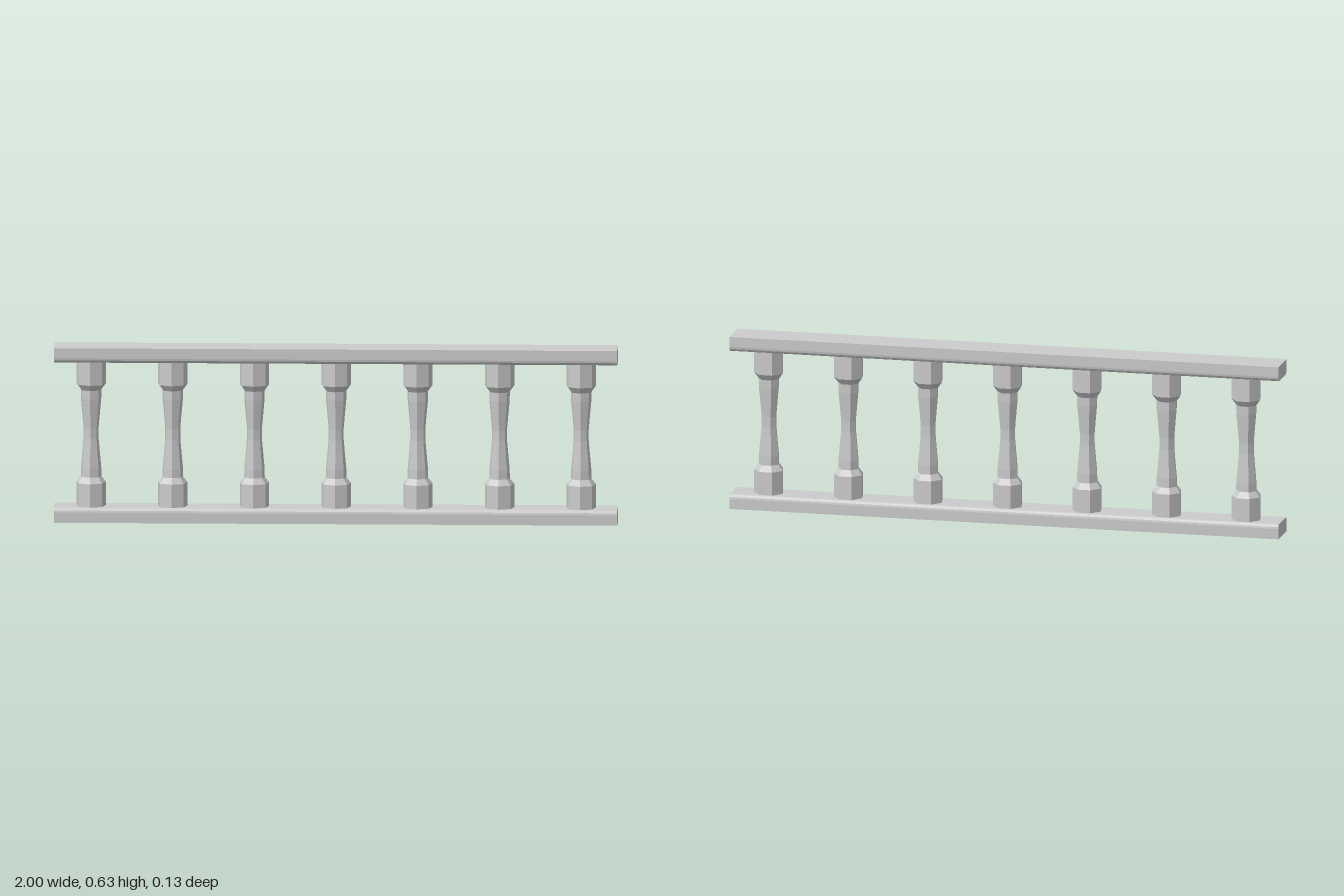
import * as THREE from 'three';

const LENGTH = 2;
const HEIGHT = 0.628;
const RAIL_H = 0.053;
const COUNT = 7;
const SPACING = 0.29;

const material = new THREE.MeshStandardMaterial({ color: 0xcccccc, flatShading: true });

// Rail: half cross-section mirrored, with eased edges on the baluster side
function railGeometry() {
  const half = [[0.064, 0], [0.064, 0.037], [0.0625, 0.044], [0.058, 0.051], [0.053, RAIL_H]];
  const outline = [...half, ...half.map(([z, y]) => [-z, y]).reverse()];
  const shape = new THREE.Shape(outline.map(([z, y]) => new THREE.Vector2(z, y)));
  const geo = new THREE.ExtrudeGeometry(shape, { depth: LENGTH, bevelEnabled: false });
  return geo.translate(0, 0, -LENGTH / 2).rotateY(Math.PI / 2);
}

// Baluster: seven-sided, lower half of the profile mirrored to the top
function balusterGeometry() {
  const lower = [
    [0.0535, RAIL_H], [0.0535, 0.137], [0.0375, 0.158],
    [0.037, 0.19], [0.031, 0.255], [0.0275, 0.295],
  ];
  const upper = lower.map(([r, y]) => [r, HEIGHT - y]).reverse();
  const points = [...lower, ...upper].map(([r, y]) => new THREE.Vector2(r, y));
  return new THREE.LatheGeometry(points, 7, THREE.MathUtils.degToRad(-2.6));
}

export function createModel() {
  const model = new THREE.Group();
  model.name = 'balustrade';

  const railGeo = railGeometry();
  const bottomRail = new THREE.Mesh(railGeo, material);
  bottomRail.name = 'bottomRail';

  const topRail = new THREE.Mesh(railGeo, material);
  topRail.name = 'topRail';
  topRail.rotation.x = Math.PI;
  topRail.position.y = HEIGHT;
  model.add(bottomRail, topRail);

  // Evenly spaced row of balusters
  const balusterGeo = balusterGeometry();
  for (let i = 0; i < COUNT; i++) {
    const baluster = new THREE.Mesh(balusterGeo, material);
    baluster.name = `baluster${i + 1}`;
    baluster.position.x = (i - (COUNT - 1) / 2) * SPACING;
    model.add(baluster);
  }
  return model;
}
